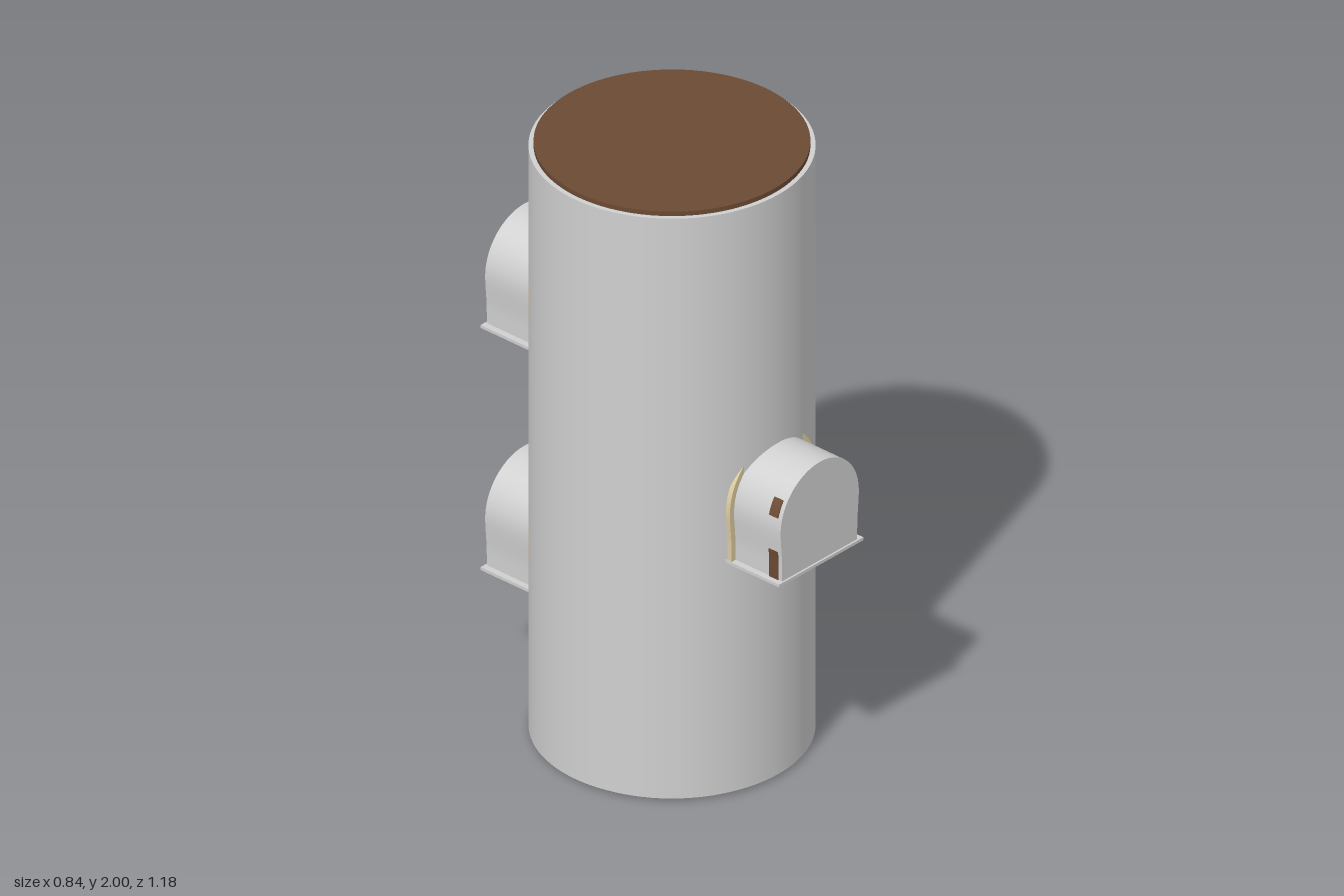
import * as THREE from 'three';
import { toCreasedNormals } from 'three/addons/utils/BufferGeometryUtils.js';

const R = 0.17; // dome radius of a hood, also the height of its centre

// Half width of the hood at height y: slightly pinched walls under a round dome
function halfWidth(y) {
  if (y > R) return Math.sqrt(Math.max(0, R * R - (y - R) * (y - R)));
  return 0.163 + 0.007 * THREE.MathUtils.smoothstep(y, 0.05, R);
}

// Arch outline from the lower right, over the dome, to the lower left
function archPoints(offset) {
  const right = [];
  for (let i = 0; i <= 8; i++) {
    const y = (R * i) / 8;
    right.push(new THREE.Vector2(halfWidth(y) + offset, y));
  }
  const dome = [];
  for (let i = 1; i < 28; i++) {
    const a = (Math.PI * i) / 28;
    dome.push(new THREE.Vector2(Math.cos(a) * (R + offset), R + Math.sin(a) * (R + offset)));
  }
  const left = right.map((p) => new THREE.Vector2(-p.x, p.y)).reverse();
  return [...right, ...dome, ...left];
}

function extrude(points, z0, z1) {
  const geometry = new THREE.ExtrudeGeometry(new THREE.Shape(points), { depth: z1 - z0, bevelEnabled: false });
  geometry.translate(0, 0, z0);
  return toCreasedNormals(geometry, 0.6);
}

export function createModel() {
  const model = new THREE.Group();
  model.name = 'tower';

  const grey = new THREE.MeshStandardMaterial({ color: 0xd0d0d0 });
  grey.name = 'light grey';
  const brown = new THREE.MeshStandardMaterial({ color: 0x6b4a33 });
  brown.name = 'brown';
  const beige = new THREE.MeshStandardMaterial({ color: 0xdccba2 });
  beige.name = 'beige';

  function add(parent, name, geometry, material, y = 0) {
    const mesh = new THREE.Mesh(geometry, material);
    mesh.name = name;
    mesh.position.y = y;
    parent.add(mesh);
    return mesh;
  }

  // Main cylinder with slightly inset end discs
  add(model, 'body', new THREE.CylinderGeometry(0.42, 0.42, 1.975, 96), grey, 0.9975);
  add(model, 'topDisc', new THREE.CylinderGeometry(0.405, 0.405, 0.02, 96), brown, 1.99);
  add(model, 'bottomDisc', new THREE.CylinderGeometry(0.405, 0.405, 0.02, 96), grey, 0.01);

  const hoodGeometry = extrude(archPoints(0), 0.3, 0.584);
  const trimGeometry = extrude([...archPoints(0.018), ...archPoints(-0.004).reverse()], 0.384, 0.4);
  const plateGeometry = new THREE.BoxGeometry(0.366, 0.01, 0.23);

  // Arched hood with a floor plate and a trim where it meets the body
  function addHood(name, y, back) {
    const hood = new THREE.Group();
    hood.name = name;
    hood.position.y = y;
    if (back) hood.rotation.y = Math.PI;
    add(hood, 'shell', hoodGeometry, grey);
    add(hood, 'trim', trimGeometry, beige);
    add(hood, 'floorPlate', plateGeometry, grey).position.z = 0.475;
    model.add(hood);
    return hood;
  }

  // Thin patch following the hood's -x wall between two heights
  function addPatch(hood, name, y0, y1, z0, z1, material) {
    const outer = [], inner = [];
    for (let i = 0; i <= 6; i++) {
      const y = y0 + ((y1 - y0) * i) / 6;
      outer.push(new THREE.Vector2(-halfWidth(y) - 0.003, y));
      inner.push(new THREE.Vector2(-halfWidth(y) + 0.003, y));
    }
    add(hood, name, extrude([...outer, ...inner.reverse()], z0, z1), material);
  }

  const front = addHood('frontHood', 0.8, false);
  addPatch(front, 'lowerPatch', 0.005, 0.1, 0.535, 0.57, brown);
  addPatch(front, 'upperPatch', 0.215, 0.265, 0.535, 0.57, brown);

  const upper = addHood('upperBackHood', 1.21, true);
  addPatch(upper, 'lowerPatch', 0.005, 0.13, 0.5, 0.568, beige);
  addPatch(upper, 'upperPatch', 0.22, 0.23, 0.5, 0.568, beige);

  addHood('lowerBackHood', 0.385, true);

  return model;
}
